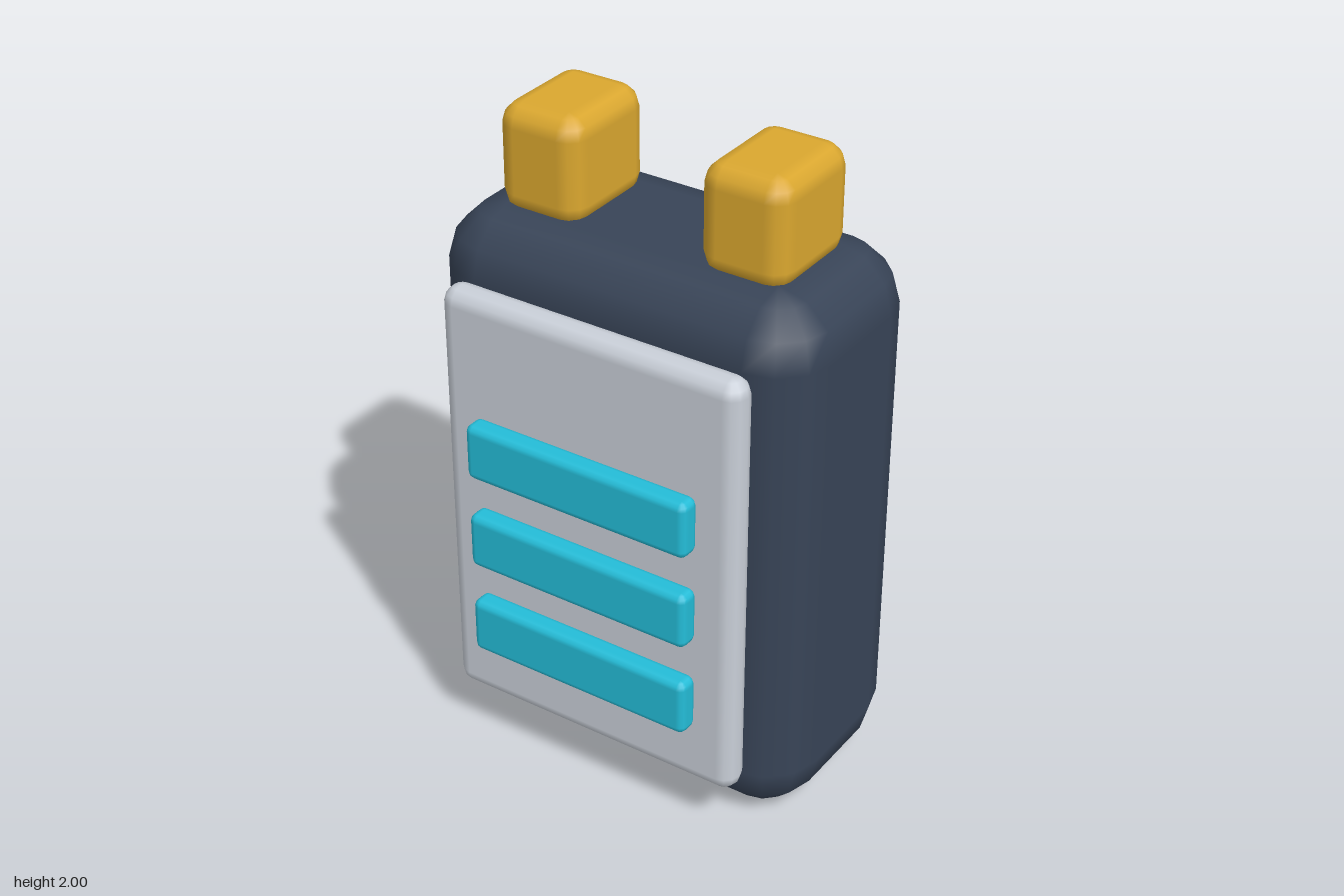
import * as THREE from 'three';

const mat = (name, color) => {
  const m = new THREE.MeshStandardMaterial({ color });
  m.name = name;
  return m;
};

// Box with every edge rounded in three 30 degree steps and smooth normals.
function softBox(w, h, d, r) {
  const g = new THREE.PlaneGeometry(1, 1, 16, 9);
  const pos = g.attributes.position, nor = g.attributes.normal;
  const lats = [90, 90, 60, 30, 0, 0, -30, -60, -90, -90];
  const rad = THREE.MathUtils.degToRad;
  for (let row = 0; row < 10; row++) {
    const lat = rad(lats[row]);
    const sy = row < 5 ? 1 : -1;
    const spread = row === 0 || row === 9 ? 0 : 1; // end rows close the caps
    for (let col = 0; col < 17; col++) {
      const q = Math.floor((col % 16) / 4);
      const lon = rad(q * 90 + (col % 4) * 30);
      const sx = q < 2 ? 1 : -1;
      const sz = q === 0 || q === 3 ? 1 : -1;
      const nx = Math.cos(lat) * Math.sin(lon);
      const ny = Math.sin(lat);
      const nz = Math.cos(lat) * Math.cos(lon);
      const i = row * 17 + col;
      pos.setXYZ(i,
        spread * sx * (w / 2 - r) + r * nx,
        sy * (h / 2 - r) + r * ny,
        spread * sz * (d / 2 - r) + r * nz);
      nor.setXYZ(i, nx, ny, nz);
    }
  }
  return g;
}

export function createModel() {
  const model = new THREE.Group();
  model.name = 'battery';

  const navy = mat('navy casing', 0x384457);
  const silver = mat('silver panel', 0xc9cfd8);
  const cyan = mat('cyan charge', 0x24bdd8);
  const gold = mat('gold terminal', 0xdaa72f);

  // Adds a soft box given its minimum and maximum corners.
  const add = (name, material, min, max, r) => {
    const [w, h, d] = max.map((v, i) => v - min[i]);
    const mesh = new THREE.Mesh(softBox(w, h, d, r), material);
    mesh.name = name;
    mesh.position.set(...max.map((v, i) => (v + min[i]) / 2));
    model.add(mesh);
  };

  // Casing and front panel
  add('casing', navy, [-0.617, 0, -0.41], [0.617, 1.7, 0.248], 0.18);
  add('frontPanel', silver, [-0.492, 0.17, 0.243], [0.492, 1.535, 0.345], 0.05);

  // Three charge bars
  for (let i = 0; i < 3; i++) {
    const y = 0.38 + i * 0.301;
    add('chargeBar' + (i + 1), cyan, [-0.37, y, 0.335], [0.37, y + 0.178, 0.407], 0.024);
  }

  // Terminals on top
  add('leftTerminal', gold, [0.192, 1.67, -0.256], [0.467, 2, 0.097], 0.065);
  add('rightTerminal', gold, [-0.467, 1.67, -0.256], [-0.192, 2, 0.097], 0.065);

  return model;
}
